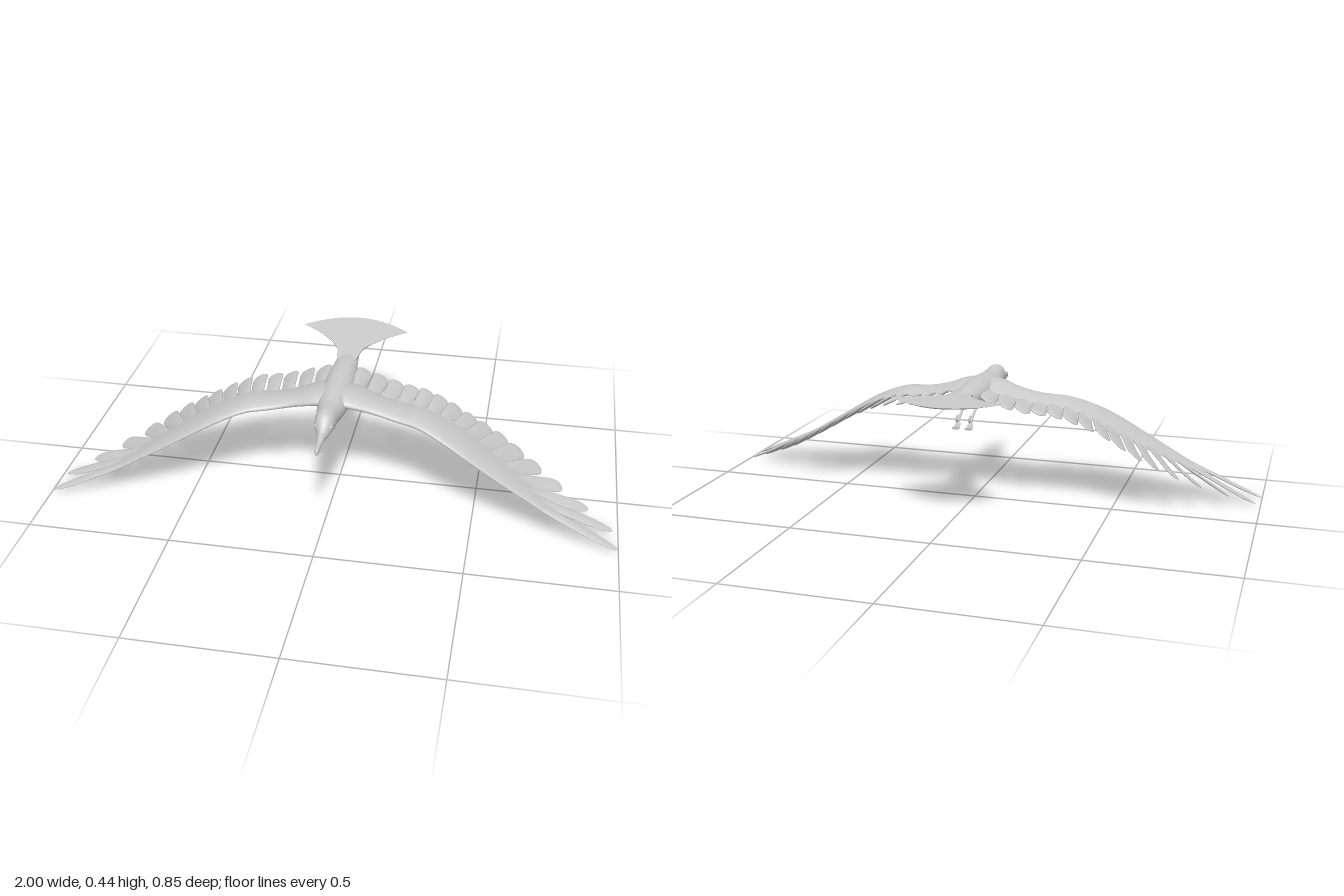
import * as THREE from 'three';

const material = new THREE.MeshStandardMaterial({ color: 0xcccccc, side: THREE.DoubleSide });

// Smooth lookup table: first number of each row is the key
function profile(rows) {
  const size = rows[0].length - 1;
  const curve = new THREE.CubicInterpolant(rows.map(r => r[0]), rows.flatMap(r => r.slice(1)), size);
  return t => Array.from(curve.evaluate(t));
}

// Closed skin through rings; point(t, c, s) gets progress 0..1 and the ring's cosine and sine
function loft(name, point, steps, sides, side = 1) {
  const pos = [], index = [];
  for (let i = 0; i <= steps; i++) {
    for (let j = 0; j < sides; j++) {
      const a = j / sides * Math.PI * 2;
      const [x, y, z] = point(i / steps, Math.cos(a), Math.sin(a));
      pos.push(x * side, y, z);
      if (i === steps) continue;
      const k = (j + 1) % sides, p = i * sides, q = p + sides;
      if (side > 0) index.push(p + j, q + j, p + k, q + j, q + k, p + k);
      else index.push(p + j, p + k, q + j, q + j, p + k, q + k);
    }
  }
  const g = new THREE.BufferGeometry();
  g.setAttribute('position', new THREE.Float32BufferAttribute(pos, 3));
  g.setIndex(index);
  g.computeVertexNormals();
  const mesh = new THREE.Mesh(g, material);
  mesh.name = name;
  return mesh;
}

// Loft along the body axis from rows of [-z, half width, bottom, top]
function axialLoft(name, rows, steps, sides) {
  const at = profile(rows), first = rows[0][0], last = rows[rows.length - 1][0];
  return loft(name, (t, c, s) => {
    const k = first + (last - first) * t;
    const [w, bottom, top] = at(k);
    return [w * c, (top + bottom) / 2 + (top - bottom) / 2 * s, -k];
  }, steps, sides);
}

const bodyRows = [
  [-.355, .006, .362, .386], [-.34, .013, .357, .393], [-.32, .021, .356, .408], [-.30, .03, .356, .43],
  [-.27, .036, .354, .44], [-.24, .038, .353, .438], [-.20, .044, .346, .434], [-.12, .054, .332, .438],
  [-.04, .055, .331, .44], [.03, .052, .344, .439], [.08, .046, .36, .436], [.14, .04, .376, .43],
  [.2, .032, .394, .425], [.25, .002, .41, .418],
];
const upperBeakRows = [
  [-.426, .002, .362, .372], [-.42, .006, .357, .38], [-.41, .008, .36, .383], [-.39, .009, .366, .384],
  [-.37, .01, .367, .386], [-.345, .013, .367, .392], [-.32, .016, .368, .4],
];
const lowerBeakRows = [
  [-.415, .003, .356, .361], [-.4, .007, .354, .367], [-.37, .009, .356, .37], [-.32, .014, .357, .372],
];

// Height of the wing along its span
const wingHeight = profile([
  [0, .405], [.06, .398], [.14, .376], [.22, .36], [.3, .352], [.38, .326], [.46, .288],
  [.56, .23], [.66, .172], [.74, .127], [.84, .08], [.92, .043], [1, .008],
]);
// Wing arm: x, leading z, trailing z, half thickness
const wingChord = profile([
  [0, .168, 0, .03], [.06, .17, 0, .028], [.14, .158, .02, .022], [.22, .168, .03, .02], [.3, .19, .035, .019],
  [.38, .22, .045, .018], [.46, .245, .055, .017], [.56, .26, .085, .014], [.66, .267, .14, .01],
  [.74, .272, .19, .007], [.8, .273, .235, .002],
]);
// Feathers: root x, root z, tip x, tip z, half width
const feathers = [
  [.06, .06, .075, -.112, .028], [.12, .06, .135, -.108, .028], [.175, .07, .195, -.1, .028],
  [.23, .07, .25, -.09, .028], [.285, .08, .305, -.08, .028], [.33, .09, .36, -.068, .028],
  [.375, .1, .415, -.055, .028], [.42, .11, .475, -.042, .029], [.465, .12, .53, -.04, .029],
  [.51, .13, .588, -.036, .029], [.55, .15, .647, -.018, .029], [.59, .17, .717, .015, .028],
  [.62, .195, .798, .064, .026], [.65, .215, .895, .122, .025], [.66, .23, .982, .184, .024], [.62, .243, 1, .281, .022],
];

function feather([x0, z0, x1, z1, halfWidth], i, side) {
  const length = Math.hypot(x1 - x0, z1 - z0), fx = (x1 - x0) / length, fz = (z1 - z0) / length;
  const taper = i > 12 ? .6 : .8; // outer feathers narrow earlier
  const twist = i > 13 ? .003 : .008;
  return loft('feather', (t, c, s) => {
    t = Math.sin(t * Math.PI / 2);
    const k = Math.max(0, (t - taper) / (1 - taper));
    const round = Math.sqrt(Math.max(0, 1 - k ** 2.4));
    const w = halfWidth * (.8 + .2 * t) * round;
    const x = x0 + (x1 - x0) * t - fz * w * c;
    const y = wingHeight(Math.min(x, 1))[0] + (.006 * s - twist * c * Math.min(1, t * 2)) * round;
    return [x, Math.max(0, y), z0 + (z1 - z0) * t + fx * w * c];
  }, 18, 14, side);
}

function wing(side) {
  const group = new THREE.Group();
  group.name = side > 0 ? 'leftWing' : 'rightWing';
  group.add(loft('wingArm', (t, c, s) => {
    const x = .8 * t, [lead, trail, thick] = wingChord(x);
    const y = wingHeight(x)[0] + thick * s * (.65 + .35 * c) + .2 * thick * (1 - c * c);
    return [x, y, (lead + trail) / 2 + (lead - trail) / 2 * c];
  }, 40, 24, side));
  feathers.forEach((f, i) => group.add(feather(f, i, side)));
  return group;
}

// Fan tail: flat on top, keeled below, rounded rear edge
function tail() {
  const halfWidth = profile([[0, .022], [.17, .036], [.43, .049], [.65, .088], [.83, .137], [1, .195]]);
  return loft('tail', (t, c, s) => {
    const end = -.422 + .092 * c * c;
    const top = .42 + .024 * t;
    const thick = t === 1 ? .002 : .04 * (1 - t) + .006;
    const y = s > 0 ? top + .004 * s * (1 - t) : top + s * thick;
    return [halfWidth(t)[0] * c, y, -.1 + (end + .1) * t];
  }, 28, 40);
}

function tube(name, points, radius) {
  const curve = new THREE.CatmullRomCurve3(points.map(p => new THREE.Vector3(...p)));
  const mesh = new THREE.Mesh(new THREE.TubeGeometry(curve, 12, radius, 8), material);
  mesh.name = name;
  return mesh;
}

function leg(side) {
  const group = new THREE.Group(), x = .023 * side;
  group.name = side > 0 ? 'leftLeg' : 'rightLeg';
  group.add(tube('shank', [[x, .375, -.03], [x, .352, -.07], [x, .325, -.122]], .005));
  // Three front toes and one curled hind toe
  for (const spread of [-1, 0, 1]) {
    const dx = spread * .006;
    group.add(tube('toe', [[x, .326, -.12], [x + dx, .311, -.13], [x + dx * 1.2, .302, -.144], [x + dx * 1.2, .303, -.162]], .0038));
  }
  group.add(tube('hindToe', [[x, .326, -.12], [x, .322, -.134], [x, .33, -.143], [x, .339, -.14], [x, .342, -.13]], .0038));
  return group;
}

function eye(side) {
  const mesh = new THREE.Mesh(new THREE.SphereGeometry(.008, 16, 12), material);
  mesh.position.set(.024 * side, .396, .303);
  mesh.name = 'eye';
  return mesh;
}

export function createModel() {
  const model = new THREE.Group();
  model.name = 'flyingBird';
  model.add(
    axialLoft('body', bodyRows, 64, 28),
    axialLoft('upperBeak', upperBeakRows, 24, 14),
    axialLoft('lowerBeak', lowerBeakRows, 16, 14),
    tail(),
  );
  for (const side of [1, -1]) model.add(wing(side), leg(side), eye(side));
  return model;
}
